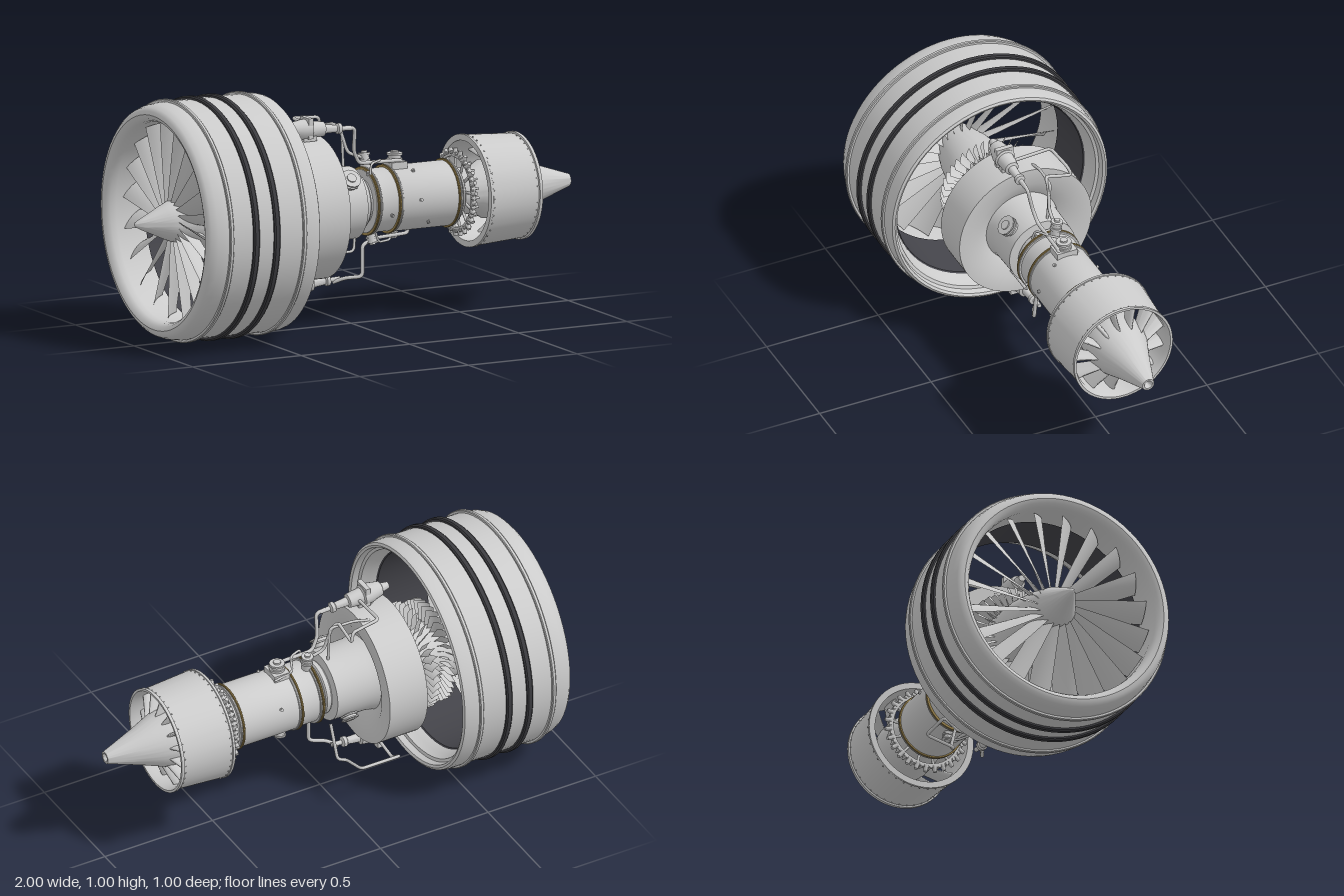
import * as THREE from 'three';
import { toCreasedNormals } from 'three/addons/utils/BufferGeometryUtils.js';

const mat = (color = 0xcccccc, side = THREE.FrontSide) =>
  new THREE.MeshStandardMaterial({ color, side });
const GREY = mat(), THIN = mat(0xcccccc, THREE.DoubleSide);
const BLACK = mat(0x3c3c40), GOLD = mat(0xa08850), DARK = mat(0x44444a);

export function createModel() {
  const model = new THREE.Group();
  model.name = 'turbofanEngine';
  const engine = new THREE.Group();
  engine.name = 'engineAxis';
  engine.position.y = 0.5;
  model.add(engine);

  const add = (name, geo, material = GREY, parent = engine) => {
    const m = new THREE.Mesh(geo, material);
    m.name = name;
    parent.add(m);
    return m;
  };
  // Turned part about the x axis; profile points are [x, radius]
  const turned = (name, pts, material = GREY, seg = 72) => {
    const g = new THREE.LatheGeometry(pts.map(([x, r]) => new THREE.Vector2(r, x)), seg);
    g.rotateZ(-Math.PI / 2);
    return add(name, toCreasedNormals(g, 0.6), material);
  };
  const band = (name, x, r, w, t, material = GREY) => turned(name, [
    [x - w / 2, r - t], [x - w / 2, r - w * 0.2], [x - w * 0.3, r], [x + w * 0.3, r],
    [x + w / 2, r - w * 0.2], [x + w / 2, r - t], [x - w / 2, r - t]], material);
  const pipe = (name, pts, r = 0.008) => {
    const path = new THREE.CurvePath();
    const v = pts.map(p => new THREE.Vector3(...p));
    let from = v[0];
    for (let i = 1; i < v.length - 1; i++) { // rounded corners
      const d = Math.min(0.02, v[i].distanceTo(v[i - 1]) / 2, v[i].distanceTo(v[i + 1]) / 2);
      const a = v[i].clone().add(v[i - 1].clone().sub(v[i]).setLength(d));
      const b = v[i].clone().add(v[i + 1].clone().sub(v[i]).setLength(d));
      if (from.distanceTo(a) > 1e-4) path.add(new THREE.LineCurve3(from, a));
      path.add(new THREE.QuadraticBezierCurve3(a, v[i], b));
      from = b;
    }
    path.add(new THREE.LineCurve3(from, v[v.length - 1]));
    return add(name, new THREE.TubeGeometry(path, pts.length * 12, r, 8));
  };
  // Twisted blade standing along +y, chord along x at zero angle
  const bladeGeo = (r0, r1, chord0, chord1, a0, a1, camber) => {
    const g = new THREE.PlaneGeometry(1, 1, 6, 8), p = g.attributes.position;
    for (let i = 0; i < p.count; i++) {
      const t = p.getY(i) + 0.5, u = p.getX(i);
      const c = THREE.MathUtils.lerp(chord0, chord1, t), a = THREE.MathUtils.lerp(a0, a1, t);
      const w = camber * c * (1 - 4 * u * u);
      p.setXYZ(i, u * c * Math.cos(a) - w * Math.sin(a), r0 + (r1 - r0) * t,
        u * c * Math.sin(a) + w * Math.cos(a));
    }
    g.computeVertexNormals();
    return g;
  };
  const row = (name, n, x, geo, material = GREY, phase = 0) => {
    const g = new THREE.Group();
    g.name = name;
    g.position.x = x;
    for (let i = 0; i < n; i++)
      add(name + 'Part', geo, material, g).rotation.x = ((i + phase) / n) * Math.PI * 2;
    engine.add(g);
  };

  // Fan cowl with a fat rolled inlet lip and a stepped, flared outlet
  turned('fanCowl', [[-0.86, 0.41], [-0.885, 0.413], [-0.902, 0.424], [-0.91, 0.441], [-0.907, 0.456],
    [-0.895, 0.469], [-0.87, 0.479], [-0.83, 0.485], [-0.48, 0.487], [-0.42, 0.486], [-0.404, 0.482],
    [-0.398, 0.472], [-0.404, 0.462], [-0.43, 0.457], [-0.435, 0.445], [-0.47, 0.438], [-0.5, 0.424],
    [-0.75, 0.42], [-0.86, 0.41]]);
  turned('cowlLiner', [[-0.495, 0.424], [-0.5, 0.419], [-0.73, 0.413]], DARK);
  for (const x of [-0.813, -0.477]) band('cowlFlange', x, 0.497, 0.017, 0.02);
  for (const x of [-0.7, -0.605]) band('cowlSealBand', x, 0.499, 0.027, 0.02, BLACK);

  // Spinner, hub, fan and inner stators
  turned('spinner', [[-1, 0], [-0.992, 0.011], [-0.96, 0.027], [-0.92, 0.045], [-0.87, 0.068],
    [-0.83, 0.085], [-0.82, 0.086]]);
  turned('fanHub', [[-0.83, 0.083], [-0.72, 0.115], [-0.6, 0.135], [-0.33, 0.145]]);
  row('fanBlade', 20, -0.79, bladeGeo(0.08, 0.41, 0.11, 0.105, 0.45, 0.75, 0.08), THIN, 0.5);
  row('boosterBlade', 40, -0.5, bladeGeo(0.13, 0.215, 0.05, 0.05, 0.4, 0.7, 0.1), THIN);
  row('innerStator', 40, -0.42, bladeGeo(0.135, 0.225, 0.045, 0.045, -0.5, -0.5, 0.1), THIN);

  // Wide casing drum with a dished rear face
  turned('casingDrum', [[-0.335, 0.13], [-0.335, 0.296], [-0.16, 0.296], [-0.16, 0.225],
    [-0.195, 0.16], [-0.16, 0.152], [0.0, 0.148], [0.005, 0.11], [0.035, 0.11], [0.035, 0.095]]);
  band('compressorFlange', 0.02, 0.115, 0.03, 0.03);
  turned('coreShaft', [[0.0, 0.095], [0.56, 0.095], [0.6, 0.12], [0.7, 0.125], [0.75, 0.115],
    [0.85, 0.077], [1, 0.026], [1, 0.018], [0.97, 0.0]]);
  turned('coreCasing', [[0.05, 0.09], [0.05, 0.13], [0.15, 0.13], [0.16, 0.134], [0.435, 0.134], [0.435, 0.09]]);
  for (const x of [0.057, 0.155, 0.428]) {
    band('casingRing', x, 0.141, 0.008, 0.02, GOLD);
    band('casingClamp', x + 0.011, 0.139, 0.008, 0.02);
  }
  for (const r of [[0.447, 0.125], [0.462, 0.115]]) band('turbineFlange', r[0], r[1], 0.012, 0.04);

  // Injector ring ahead of the exhaust
  band('injectorRing', 0.48, 0.165, 0.016, 0.02);
  const knob = new THREE.CylinderGeometry(0.008, 0.012, 0.026, 8).translate(0, 0.168, 0);
  row('injectorKnob', 26, 0.48, knob);
  const arm = new THREE.CylinderGeometry(0.006, 0.006, 0.075, 8).translate(0, 0.125, 0);
  row('injectorArm', 13, 0.48, arm);
  const tip = new THREE.CylinderGeometry(0.007, 0.005, 0.035, 8).rotateZ(Math.PI / 2).translate(0.005, 0.16, 0);
  row('injectorTip', 26, 0.48, tip, GREY, 0.5);

  // Open exhaust duct with an inner sleeve, wedge struts and bolts
  turned('exhaustDuct', [[0.522, 0.205], [0.522, 0.231], [0.532, 0.231], [0.534, 0.228], [0.75, 0.214],
    [0.752, 0.221], [0.765, 0.221], [0.765, 0.211], [0.74, 0.203], [0.522, 0.205]]);
  const strut = new THREE.CylinderGeometry(0.013, 0.008, 0.1, 10).scale(4, 1, 1);
  const sp = strut.attributes.position;
  for (let i = 0; i < sp.count; i++) // leaned towards the cone
    sp.setXYZ(i, sp.getX(i) - sp.getY(i) * 0.6, sp.getY(i) + 0.157, sp.getZ(i));
  strut.computeVertexNormals();
  row('exhaustStrut', 13, 0.7, strut, GREY, 0.25);
  const bolt = new THREE.CylinderGeometry(0.003, 0.003, 0.006, 6);
  row('frontBolt', 40, 0.54, bolt.clone().translate(0, 0.228, 0));
  row('rearBolt', 40, 0.744, bolt.clone().translate(0, 0.214, 0));

  // Actuators above and below the drum, nose forward and slightly tilted
  const actuator = (name, x, y, z, size) => {
    const s = Math.sign(y);
    const m = turned(name, [[0, 0], [0.003, 0.014], [0.035, 0.02], [0.04, 0.03], [0.09, 0.042], [0.125, 0.044],
      [0.13, 0.036], [0.19, 0.03], [0.195, 0.019], [0.25, 0.015], [0.255, 0.022],
      [0.27, 0.022], [0.275, 0.01], [0.32, 0.009], [0.32, 0]], GREY, 16);
    m.position.set(x, y, z);
    m.rotation.z = -0.07 * s;
    m.scale.setScalar(size);
    add(name + 'Mount', new THREE.BoxGeometry(0.06, 0.05, 0.05)).position.set(x + 0.12, y - 0.03 * s, z);
    add(name + 'Bracket', new THREE.BoxGeometry(0.02, 0.085, 0.075)).position.set(x + 0.115, y, z);
  };
  actuator('upperActuator', -0.352, 0.342, 0.06, 1);
  actuator('lowerActuator', -0.367, -0.333, -0.01, 1);

  // Pipework
  pipe('upperFeedPipe', [[-0.06, 0.325, 0.06], [-0.015, 0.32, 0.06], [-0.01, 0.22, 0.04],
    [0.02, 0.165, 0.03], [0.22, 0.16, 0.03], [0.22, 0.12, 0.03]]);
  pipe('upperCrossPipe', [[-0.2, 0.335, 0.05], [-0.2, 0.345, -0.13], [-0.07, 0.335, -0.145],
    [-0.06, 0.295, -0.16], [-0.06, 0.325, -0.04], [-0.03, 0.3, -0.04], [0, 0.2, -0.03], [0.08, 0.17, -0.02], [0.08, 0.12, -0.02]], 0.007);
  pipe('drumTopPipe', [[-0.2, 0.29, -0.05], [-0.13, 0.31, -0.05], [-0.02, 0.31, -0.045], [-0.02, 0.14, -0.03]], 0.006);
  pipe('lowerFeedPipe', [[-0.08, -0.325, -0.01], [-0.04, -0.305, 0.02], [0.025, -0.3, 0.05],
    [0.03, -0.17, 0.04], [0.1, -0.15, 0.03], [0.25, -0.145, 0.02], [0.25, -0.11, 0.02]]);
  pipe('lowerCrossPipe', [[-0.25, -0.335, -0.02], [-0.24, -0.34, -0.17], [-0.24, -0.29, -0.235], [-0.06, -0.29, -0.235],
    [-0.06, -0.325, -0.11], [-0.02, -0.31, -0.11], [-0.01, -0.15, -0.07]], 0.007);
  pipe('drumLowerPipe', [[-0.17, -0.19, 0.06], [-0.02, -0.19, 0.06], [-0.01, -0.11, 0.05]], 0.006);
  pipe('valvePipe', [[0.05, 0.12, 0.07], [0.06, 0.165, 0.06], [0.12, 0.17, 0.03], [0.15, 0.15, -0.04], [0.24, 0.14, -0.05]], 0.005);
  pipe('drainPipe', [[0.08, -0.12, 0.06], [0.1, -0.165, 0.05], [0.18, -0.17, 0], [0.2, -0.13, -0.03]], 0.005);

  // Ports and fittings standing on the core
  const port = (name, x, angle, r, base, height) => {
    const g = new THREE.Group();
    g.name = name;
    g.position.x = x;
    g.rotation.x = angle;
    [[1, 0, 0.85], [1.25, 0.45, 0.14], [1.25, 0.78, 0.12], [0.6, 0.8, 0.2]].forEach(([k, y, h]) =>
      add(name + 'Body', new THREE.CylinderGeometry(r * k, r * k, height * h, 12), GREY, g)
        .position.y = base + height * (y + h / 2));
    engine.add(g);
  };
  port('topPort', 0.2, 0, 0.026, 0.12, 0.075);
  port('topValve', 0.075, -0.15, 0.02, 0.12, 0.085);
  port('frontPort', -0.07, 0.8, 0.034, 0.14, 0.05);
  port('rearPort', -0.07, -2.3, 0.03, 0.13, 0.045);
  port('lowerValve', 0.075, 2.9, 0.02, 0.12, 0.06);
  port('lowerPort', 0.2, 3.3, 0.02, 0.12, 0.05);
  for (const [x, a] of [[0.05, 0.4], [0.25, 0.5], [0.25, 1.5], [0.3, 2.3], [0.12, 1.9], [0.25, -1.2]])
    port('sensor', x, a, 0.006, 0.125, 0.018);
  add('controlBox', new THREE.BoxGeometry(0.07, 0.04, 0.09)).position.set(0.2, 0.135, 0);
  return model;
}
